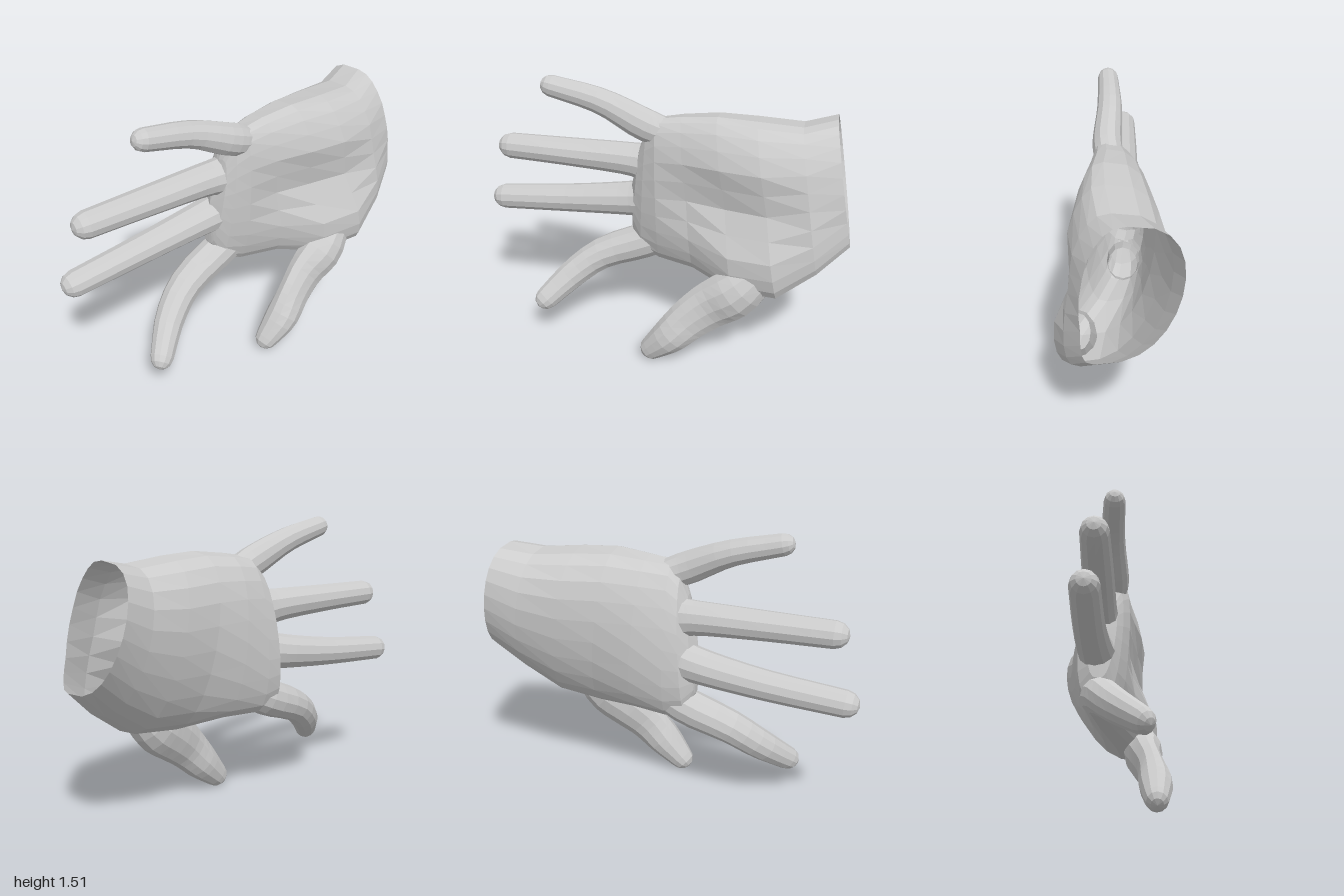
import * as THREE from 'three';

const { lerp, smoothstep } = THREE.MathUtils;
const skin = new THREE.MeshStandardMaterial({ color: 0xcccccc, flatShading: true, side: THREE.DoubleSide });

// Skins a list of equal-length point rings and closes the last one at a tip point
function loft(name, rings, tip) {
  const n = rings[0].length;
  const positions = [...rings.flat(), tip].flatMap((p) => [p.x, p.y, p.z]);
  const index = [];
  const tipIndex = rings.length * n;
  rings.forEach((ring, i) => {
    for (let j = 0; j < n; j++) {
      const a = i * n + j;
      const b = i * n + (j + 1) % n;
      if (i === rings.length - 1) index.push(a, tipIndex, b);
      else index.push(a, a + n, b, b, a + n, b + n);
    }
  });
  const geometry = new THREE.BufferGeometry();
  geometry.setAttribute('position', new THREE.Float32BufferAttribute(positions, 3));
  geometry.setIndex(index);
  geometry.computeVertexNormals();
  const mesh = new THREE.Mesh(geometry, skin);
  mesh.name = name;
  return mesh;
}

// Finger: joints are [x, y, z, half width, half thickness] from knuckle to tip
function finger(name, joints, sides = 12, steps = 10) {
  const path = new THREE.CatmullRomCurve3(joints.map(([x, y, z]) => new THREE.Vector3(x, y, z)));
  const size = new THREE.CatmullRomCurve3(joints.map((j) => new THREE.Vector3(j[3], j[4], 0)));
  const rings = [];
  const addRing = (t, scale, push) => {
    const tangent = path.getTangent(t);
    const up = new THREE.Vector3().crossVectors(tangent, new THREE.Vector3(1, 0, 0)).normalize();
    const side = new THREE.Vector3().crossVectors(up, tangent);
    const s = size.getPoint(t);
    const centre = path.getPoint(t).addScaledVector(tangent, push * s.x);
    const ring = [];
    for (let j = 0; j < sides; j++) {
      const a = (j / sides) * Math.PI * 2;
      ring.push(centre.clone()
        .addScaledVector(up, Math.cos(a) * s.x * scale)
        .addScaledVector(side, Math.sin(a) * s.y * scale));
    }
    rings.push(ring);
  };
  for (let i = 0; i <= steps; i++) addRing(i / steps, 1, 0);
  // rounded fingertip
  addRing(1, 0.85, 0.5);
  addRing(1, 0.5, 0.86);
  const tip = path.getPoint(1).addScaledVector(path.getTangent(1), size.getPoint(1).x);
  return loft(name, rings, tip);
}

// Palm stations from open wrist to knuckles:
// [zTop, zBottom, topX, topY, bottomX, bottomY, back depth, palm depth: heel, hollow, thumb side]
const PALM = [
  [-0.88, -1.00, -0.06, 1.37, 0.08, 0.76, 0.30, 0.15, 0.13, 0.10],
  [-0.72, -0.85, 0.00, 1.34, 0.14, 0.62, 0.33, 0.15, 0.12, 0.12],
  [-0.50, -0.66, 0.02, 1.36, 0.18, 0.48, 0.34, 0.15, 0.07, 0.14],
  [-0.30, -0.43, 0.02, 1.37, 0.13, 0.46, 0.30, 0.13, 0.04, 0.13],
  [-0.12, -0.20, 0.00, 1.35, 0.00, 0.50, 0.23, 0.12, 0.08, 0.12],
  [0.01, 0.00, 0.00, 1.33, -0.07, 0.50, 0.18, 0.10, 0.10, 0.11],
  [0.06, 0.11, -0.02, 1.27, -0.09, 0.53, 0.15, 0.08, 0.08, 0.08],
  [0.10, 0.16, -0.04, 1.17, -0.10, 0.65, 0.08, 0.06, 0.06, 0.06],
];

function palm(sides = 24) {
  const rings = PALM.map(([zT, zB, xT, yT, xB, yB, back, heel, hollow, thumbSide]) => {
    const ring = [];
    for (let j = 0; j < sides; j++) {
      const a = (j / sides) * Math.PI * 2;
      const t = (1 - Math.cos(a)) / 2;
      const s = Math.sin(a);
      const front = t < 0.5
        ? lerp(heel, hollow, smoothstep(t, 0.2, 0.5))
        : lerp(hollow, thumbSide, smoothstep(t, 0.5, 0.8));
      const depth = Math.sign(s) * Math.abs(s) ** 0.72 * (s > 0 ? front : back);
      ring.push(new THREE.Vector3(lerp(xT, xB, t) + depth, lerp(yT, yB, t), lerp(zT, zB, t)));
    }
    return ring;
  });
  return loft('palm', rings, new THREE.Vector3(-0.08, 0.92, 0.16));
}

export function createModel() {
  const hand = new THREE.Group();
  hand.name = 'hand';
  hand.add(
    palm(),
    finger('littleFinger', [
      [-0.02, 1.25, -0.04, 0.075, 0.075], [-0.01, 1.29, 0.07, 0.085, 0.075],
      [-0.03, 1.39, 0.3, 0.068, 0.065], [-0.03, 1.455, 0.565, 0.056, 0.055],
    ]),
    finger('ringFinger', [
      [-0.08, 1.05, 0.06, 0.11, 0.09], [-0.09, 1.06, 0.16, 0.09, 0.085],
      [-0.11, 1.065, 0.5, 0.077, 0.08], [-0.13, 1.065, 0.85, 0.07, 0.07],
    ]),
    finger('middleFinger', [
      [-0.1, 0.835, 0.06, 0.11, 0.1], [-0.12, 0.815, 0.17, 0.095, 0.095],
      [-0.15, 0.77, 0.5, 0.08, 0.08], [-0.17, 0.73, 0.93, 0.07, 0.07],
    ]),
    finger('indexFinger', [
      [-0.09, 0.63, -0.04, 0.09, 0.08], [-0.1, 0.56, 0.12, 0.1, 0.095],
      [-0.08, 0.47, 0.34, 0.09, 0.09], [-0.02, 0.36, 0.49, 0.083, 0.08],
      [0.09, 0.235, 0.63, 0.066, 0.06],
    ]),
    finger('thumb', [
      [0.15, 0.62, -0.6, 0.09, 0.06], [0.165, 0.46, -0.44, 0.14, 0.11],
      [0.17, 0.37, -0.32, 0.135, 0.085], [0.19, 0.285, -0.22, 0.122, 0.075],
      [0.205, 0.175, -0.115, 0.103, 0.09], [0.2, 0.07, -0.01, 0.07, 0.066],
    ], 12, 14),
  );
  return hand;
}
